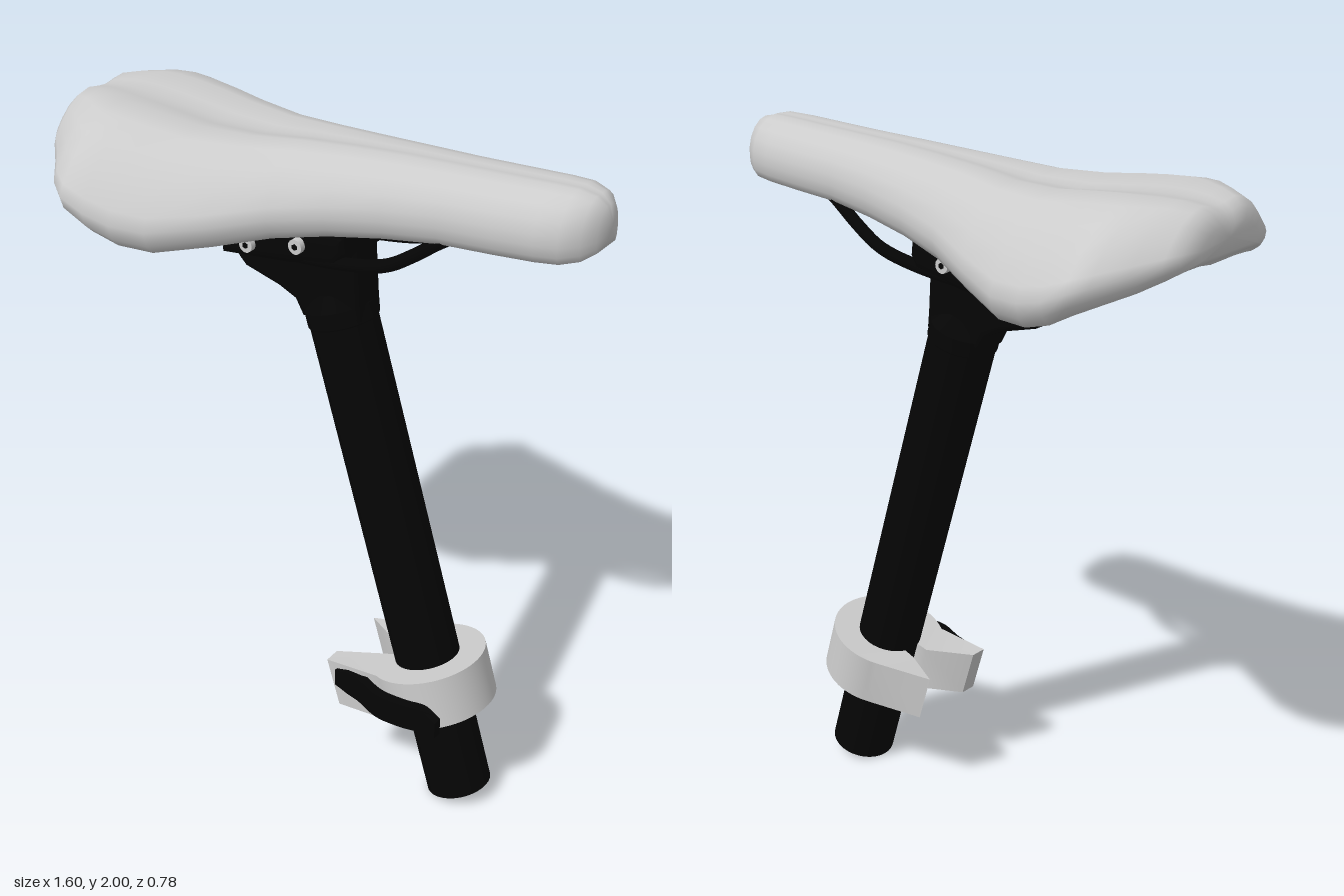
import * as THREE from 'three';
import { toCreasedNormals } from 'three/addons/utils/BufferGeometryUtils.js';

const grey = new THREE.MeshStandardMaterial({ color: 0xcccccc });
const black = new THREE.MeshStandardMaterial({ color: 0x050505 });
const TILT = 0.288;

function addMesh(parent, name, geometry, material) {
  const mesh = new THREE.Mesh(geometry, material);
  mesh.name = name;
  parent.add(mesh);
  return mesh;
}

const polygon = points => new THREE.Shape(points.map(p => new THREE.Vector2(...p)));

// Extrusion centred on z = 0, total thickness includes the bevel
function plate(shape, thickness, bevel = 0) {
  const depth = thickness - 2 * bevel;
  const geo = new THREE.ExtrudeGeometry(shape, {
    depth, bevelEnabled: bevel > 0, bevelSize: bevel, bevelThickness: bevel,
    bevelOffset: -bevel, bevelSegments: 3, curveSegments: 20,
  });
  return geo.translate(0, 0, -depth / 2);
}

// Padded shell with a shallow centre channel: half profiles
// (width fraction, depth fraction), outside then underside
const WIDE = [[0, 0.07], [0.13, 0.055], [0.32, 0], [0.5, 0.06], [0.68, 0.2], [0.84, 0.42], [0.96, 0.64],
  [1, 0.77], [0.97, 0.91], [0.9, 1], [0.84, 0.98], [0.79, 0.84], [0.6, 0.5], [0.3, 0.28], [0, 0.26]];
const NOSE = [[0, 0.02], [0.1, 0.01], [0.26, 0], [0.5, 0.05], [0.74, 0.18], [0.91, 0.36], [0.99, 0.55],
  [1, 0.72], [0.97, 0.88], [0.88, 1], [0.79, 0.97], [0.73, 0.82], [0.6, 0.55], [0.3, 0.44], [0, 0.42]];
const RIM = 9;

function saddleGeometry() {
  // x, half width, top, rim, hollowness
  const stations = [
    [-0.8, 0, 1.89, 1.89, 0], [-0.8, 0.13, 1.925, 1.855, 0], [-0.785, 0.19, 1.955, 1.838, 0],
    [-0.76, 0.225, 1.972, 1.82, 0.4], [-0.71, 0.28, 1.982, 1.79, 0.9], [-0.65, 0.355, 1.986, 1.762, 1],
    [-0.6, 0.39, 1.985, 1.738, 1], [-0.53, 0.388, 1.981, 1.7, 1], [-0.45, 0.378, 1.973, 1.676, 1],
    [-0.35, 0.355, 1.961, 1.672, 1], [-0.2, 0.29, 1.957, 1.705, 1], [-0.05, 0.225, 1.968, 1.745, 1],
    [0.1, 0.187, 1.976, 1.775, 1], [0.25, 0.16, 1.983, 1.797, 1], [0.4, 0.143, 1.988, 1.815, 1],
    [0.55, 0.137, 1.994, 1.823, 1], [0.66, 0.131, 1.999, 1.83, 0.9], [0.72, 0.121, 2, 1.835, 0.5],
    [0.765, 0.093, 1.99, 1.845, 0], [0.79, 0.055, 1.968, 1.86, 0], [0.8, 0.025, 1.935, 1.885, 0],
    [0.8, 0, 1.91, 1.91, 0]];
  const half = WIDE.length, ring = half * 2 - 2;
  const pos = [], index = [];
  stations.forEach(([x, w, top, rim, hollow], i) => {
    const k = THREE.MathUtils.smoothstep(x, -0.4, 0.35);
    for (let j = 0; j < ring; j++) {
      const m = j < half ? j : ring - j, side = j < half ? 1 : -1;
      const z = THREE.MathUtils.lerp(WIDE[m][0], NOSE[m][0], k);
      let d = THREE.MathUtils.lerp(WIDE[m][1], NOSE[m][1], k);
      if (m > RIM) d = THREE.MathUtils.lerp(1, d, hollow);
      pos.push(x, top - (top - rim) * d, side * z * w);
      if (i < stations.length - 1) {
        const a = i * ring + j, b = i * ring + (j + 1) % ring;
        index.push(a, b, a + ring, b, b + ring, a + ring);
      }
    }
  });
  const geo = new THREE.BufferGeometry();
  geo.setAttribute('position', new THREE.Float32BufferAttribute(pos, 3));
  geo.setIndex(index);
  geo.computeVertexNormals();
  return geo;
}

// Split ring with two ears that rise slightly away from the post
function collarGeometry() {
  const open = 2.1, inner = Math.PI - 0.3;
  const shape = new THREE.Shape();
  shape.moveTo(-0.255, 0.15);
  shape.absarc(0, 0, 0.172, open, -open, true);
  shape.lineTo(-0.255, -0.15);
  shape.lineTo(-0.255, -0.1);
  shape.lineTo(-0.13, -0.03);
  shape.absarc(0, 0, 0.094, -inner, inner, false);
  shape.lineTo(-0.13, 0.03);
  shape.lineTo(-0.255, 0.1);
  shape.closePath();
  const geo = plate(shape, 0.152).rotateX(-Math.PI / 2);
  const p = geo.attributes.position;
  for (let i = 0; i < p.count; i++) {
    p.setY(i, p.getY(i) + Math.max(0, -p.getX(i) - 0.13) * 0.28);
  }
  return toCreasedNormals(geo, 0.5);
}

// Strip along a wavy path, lower towards its rounded ends
function leverGeometry() {
  const path = new THREE.SplineCurve([[0.12, 0.145], [0.2, 0.155], [0.29, 0.188], [0.37, 0.188],
    [0.43, 0.178], [0.49, 0.19]].map(p => new THREE.Vector2(...p))).getPoints(30);
  const strip = [...path.map(p => [p.x, -p.y + 0.015]), ...path.reverse().map(p => [p.x, -p.y - 0.015])];
  const geo = plate(polygon(strip), 0.08).rotateX(-Math.PI / 2);
  const p = geo.attributes.position;
  for (let i = 0; i < p.count; i++) {
    const fromEnd = Math.min(p.getX(i) - 0.12, 0.49 - p.getX(i));
    p.setY(i, p.getY(i) * (0.65 + 0.35 * THREE.MathUtils.smoothstep(fromEnd, -0.01, 0.06)));
  }
  return toCreasedNormals(geo, 0.6);
}

export function createModel() {
  const model = new THREE.Group();
  model.name = 'bicycleSeat';

  addMesh(model, 'saddle', saddleGeometry(), grey);

  // Tilted post with a stepped top
  const post = new THREE.Group();
  post.name = 'seatPost';
  post.position.set(0.464, 0.027, 0);
  post.rotation.z = TILT;
  model.add(post);
  addMesh(post, 'tube', new THREE.CylinderGeometry(0.096, 0.096, 1.5, 32).translate(0, 0.75, 0), black);
  const shoulder = [[0.095, 1.49], [0.1, 1.495], [0.1, 1.54], [0.06, 1.58], [0, 1.58]];
  addMesh(post, 'shoulder', toCreasedNormals(
    new THREE.LatheGeometry(shoulder.map(p => new THREE.Vector2(...p)), 32), 0.5), black);

  // Post head: narrow neck under a wide rail cradle
  const neck = polygon([[-0.06, 1.46], [0.125, 1.49], [0.12, 1.54], [0.11, 1.7],
    [-0.28, 1.65], [-0.275, 1.585], [-0.25, 1.56], [-0.14, 1.53], [-0.085, 1.505]]);
  addMesh(model, 'neck', toCreasedNormals(plate(neck, 0.115, 0.015), 0.6), black);
  const cradle = polygon([[-0.275, 1.62], [-0.05, 1.645], [0.1, 1.675],
    [0.12, 1.71], [0.115, 1.755], [-0.18, 1.73], [-0.23, 1.7], [-0.28, 1.655]]);
  addMesh(model, 'railCradle', toCreasedNormals(plate(cradle, 0.265, 0.025), 0.6), black);

  // Cradle bolts with hollow heads on both sides
  for (const [x, y] of [[-0.175, 1.675], [-0.015, 1.71]]) {
    const bolt = addMesh(model, 'cradleBolt', new THREE.CylinderGeometry(0.021, 0.021, 0.3, 16), grey);
    bolt.rotation.x = Math.PI / 2;
    bolt.position.set(x, y, 0);
    for (const side of [1, -1]) {
      const socket = addMesh(model, 'boltSocket', new THREE.CylinderGeometry(0.009, 0.009, 0.004, 6), black);
      socket.rotation.x = Math.PI / 2;
      socket.position.set(x, y, side * 0.15);
    }
  }

  // Pair of bent rails carrying the saddle
  for (const side of [1, -1]) {
    const path = new THREE.CatmullRomCurve3([
      [-0.63, 1.83, 0.09], [-0.52, 1.76, 0.1], [-0.42, 1.685, 0.11], [-0.36, 1.655, 0.112], [-0.2, 1.66, 0.112],
      [0.1, 1.68, 0.112], [0.24, 1.71, 0.112], [0.32, 1.757, 0.112], [0.4, 1.815, 0.11], [0.46, 1.85, 0.105],
    ].map(([x, y, z]) => new THREE.Vector3(x, y, z * side)));
    addMesh(model, side > 0 ? 'frontRail' : 'backRail',
      new THREE.TubeGeometry(path, 48, 0.018, 10), black);
  }

  // Quick release clamp round the post
  const collar = addMesh(model, 'clampCollar', collarGeometry(), grey);
  collar.position.set(0.362, 0.38, 0);
  collar.rotation.z = TILT;
  const lever = addMesh(model, 'clampLever', leverGeometry(), black);
  lever.position.y = 0.37;

  return model;
}
